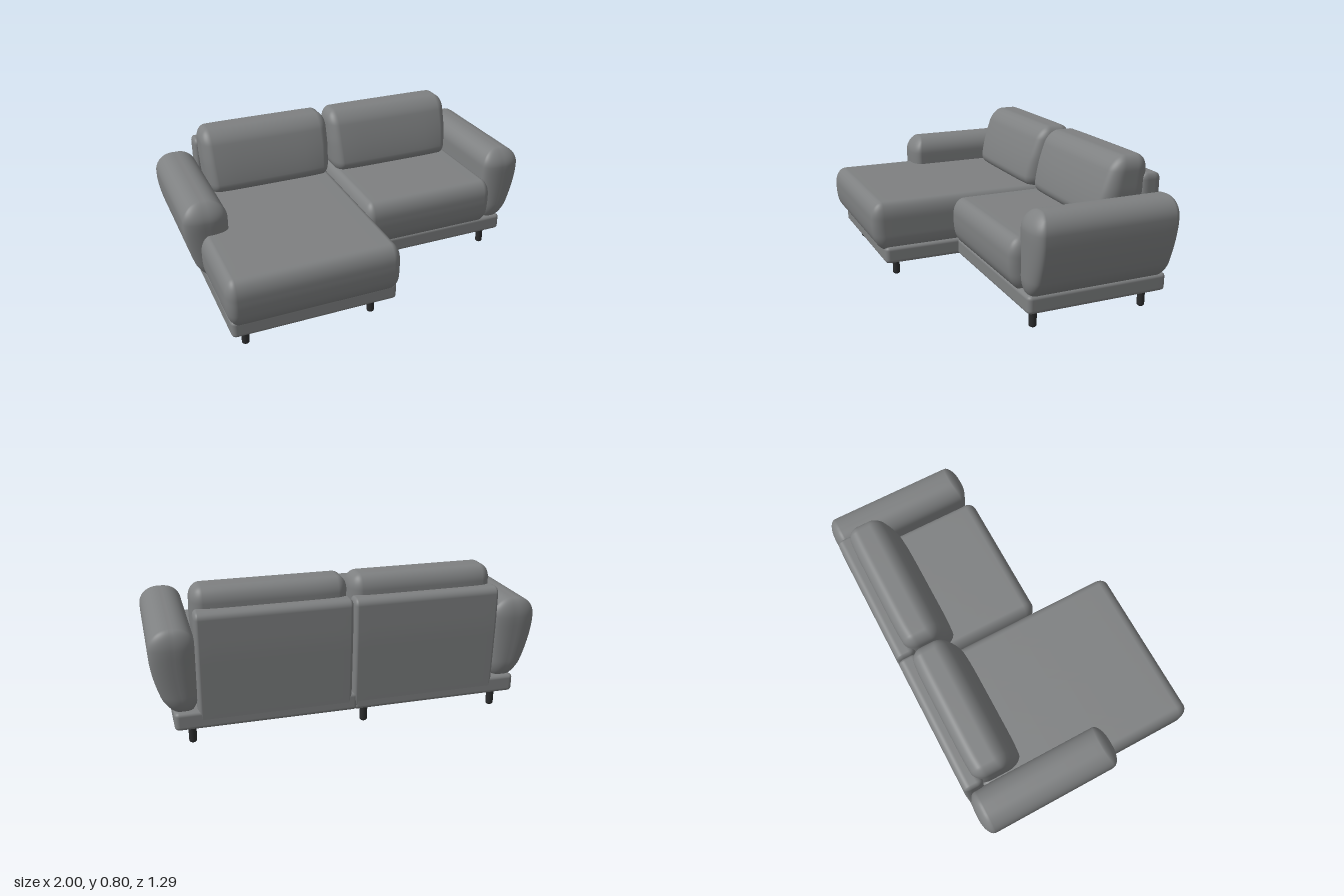
import * as THREE from 'three';
import { mergeVertices } from 'three/addons/utils/BufferGeometryUtils.js';

const fabric = new THREE.MeshStandardMaterial({ color: 0x7e8081 });
fabric.name = 'grey fabric';
const legPaint = new THREE.MeshStandardMaterial({ color: 0x2b2c2d });
legPaint.name = 'dark leg';

// Upholstered block between two corners, with its own edge radius on each axis.
// The optional warp moves each finished vertex (world coordinates).
function softBlock(name, min, max, radii, warp) {
  const N = 24;
  const raw = new THREE.BoxGeometry(2, 2, 2, N, N, N);
  raw.deleteAttribute('uv');
  raw.deleteAttribute('normal');
  const geo = mergeVertices(raw, 1e-4);
  const pos = geo.attributes.position;
  const p = new THREE.Vector3();
  for (let i = 0; i < pos.count; i++) {
    p.fromBufferAttribute(pos, i);
    const t = p.toArray();
    const inner = [], d = [];
    for (let k = 0; k < 3; k++) {
      const a = Math.abs(t[k]), s = Math.sign(t[k]);
      const flat = (max[k] - min[k]) / 2 - radii[k];
      inner[k] = s * flat * Math.min(1, a * 2);
      d[k] = a > 0.5 ? s * Math.tan((a - 0.5) * Math.PI / 2) : 0;
    }
    const len = Math.hypot(...d) || 1;
    const q = inner.map((v, k) => (min[k] + max[k]) / 2 + v + radii[k] * d[k] / len);
    p.set(...q);
    if (warp) warp(p);
    pos.setXYZ(i, p.x, p.y, p.z);
  }
  geo.computeVertexNormals();
  const mesh = new THREE.Mesh(geo, fabric);
  mesh.name = name;
  return mesh;
}

// Seat cushion: the front and the open side tuck in towards the base
function seat(name, x0, x1, zFront) {
  return softBlock(name, [x0, 0.175, -0.56], [x1, 0.457, zFront], [0.05, 0.09, 0.065], p => {
    const low = Math.max(0, (0.34 - p.y) / 0.165);
    if (p.z > zFront - 0.15) p.z -= 0.035 * low * low * (p.z - zFront + 0.15) / 0.15;
    if (p.x < -0.8) p.x += 0.025 * low * low * (-0.8 - p.x) / 0.12;
  });
}

// Back cushion: thick at the bottom, front face leaning back, thinner at the ends
function backCushion(name, x0, x1) {
  const mid = (x0 + x1) / 2, half = (x1 - x0) / 2;
  return softBlock(name, [x0, 0.43, -0.585], [x1, 0.8, -0.29], [0.055, 0.075, 0.09], p => {
    const t = Math.max(0, (p.y - 0.45) / 0.35);
    const front = (p.z + 0.585) / 0.295;
    p.z -= 0.1 * Math.pow(t, 1.6) * front;
    const end = Math.pow(Math.abs(p.x - mid) / half, 6);
    p.z += (-0.45 - p.z) * 0.1 * end;
    p.x -= (p.x - mid) * 0.03 * (1 - Math.min(1, t * 2));
  });
}

// Armrest: rounded top, outer face bulging out and curving in to the base
function arm(name, side, zFront) {
  const x0 = side > 0 ? 0.775 : -1, x1 = side > 0 ? 1 : -0.765;
  return softBlock(name, [x0, 0.18, -0.645], [x1, 0.626, zFront], [0.1, 0.1, 0.05], p => {
    const low = Math.max(0, (0.5 - p.y) / 0.32);
    const outer = (side * p.x - 0.77) / 0.23;
    p.x -= side * 0.085 * Math.pow(low, 1.7) * outer;
    // softly rounded upper front corner and narrower foot
    const high = Math.max(0, (p.y - 0.52) / 0.106);
    if (p.z > 0) p.z -= 0.035 * high * high * p.z / zFront + 0.012 * low * p.z / zFront;
    if (p.z < -0.5) p.z += 0.015 * low;
  });
}

export function createModel() {
  const sofa = new THREE.Group();
  sofa.name = 'cornerSofa';

  // Plinths under the long and the short seat
  const r = [0.025, 0.02, 0.025];
  sofa.add(softBlock('chaiseBase', [-0.9, 0.103, -0.635], [-0.005, 0.2, 0.58], r));
  sofa.add(softBlock('seatBase', [-0.03, 0.103, -0.635], [0.9, 0.2, 0.15], r));

  // Seats
  sofa.add(seat('chaiseSeat', -0.925, -0.006, 0.645));
  sofa.add(seat('shortSeat', -0.002, 0.8, 0.195));

  // Two-part backrest panel, sloping slightly outwards to the top
  const slope = p => { p.z += 0.015 * Math.max(0, (0.5 - p.y) / 0.4); };
  sofa.add(softBlock('backPanelRight', [-0.775, 0.106, -0.648], [-0.001, 0.703, -0.54], [0.02, 0.035, 0.035], slope));
  sofa.add(softBlock('backPanelLeft', [0.001, 0.106, -0.648], [0.783, 0.703, -0.54], [0.02, 0.035, 0.035], slope));

  // Loose back cushions
  sofa.add(backCushion('backCushionRight', -0.762, -0.008));
  sofa.add(backCushion('backCushionLeft', 0.008, 0.783));

  // Armrests
  sofa.add(arm('armLeft', 1, 0.165));
  sofa.add(arm('armRight', -1, 0.15));

  // Legs with a slightly rounded foot
  const profile = [[0, 0], [0.014, 0], [0.019, 0.005], [0.02, 0.012], [0.02, 0.115]]
    .map(([x, y]) => new THREE.Vector2(x, y));
  const legGeo = new THREE.LatheGeometry(profile, 20);
  const spots = [
    [-0.815, 0.49], [-0.12, 0.49], [-0.815, 0.09],
    [0.81, 0.08], [0.81, -0.55], [-0.085, -0.55], [-0.815, -0.55],
  ];
  spots.forEach(([x, z], i) => {
    const leg = new THREE.Mesh(legGeo, legPaint);
    leg.name = 'leg' + (i + 1);
    leg.position.set(x, 0, z);
    sofa.add(leg);
  });
  return sofa;
}
